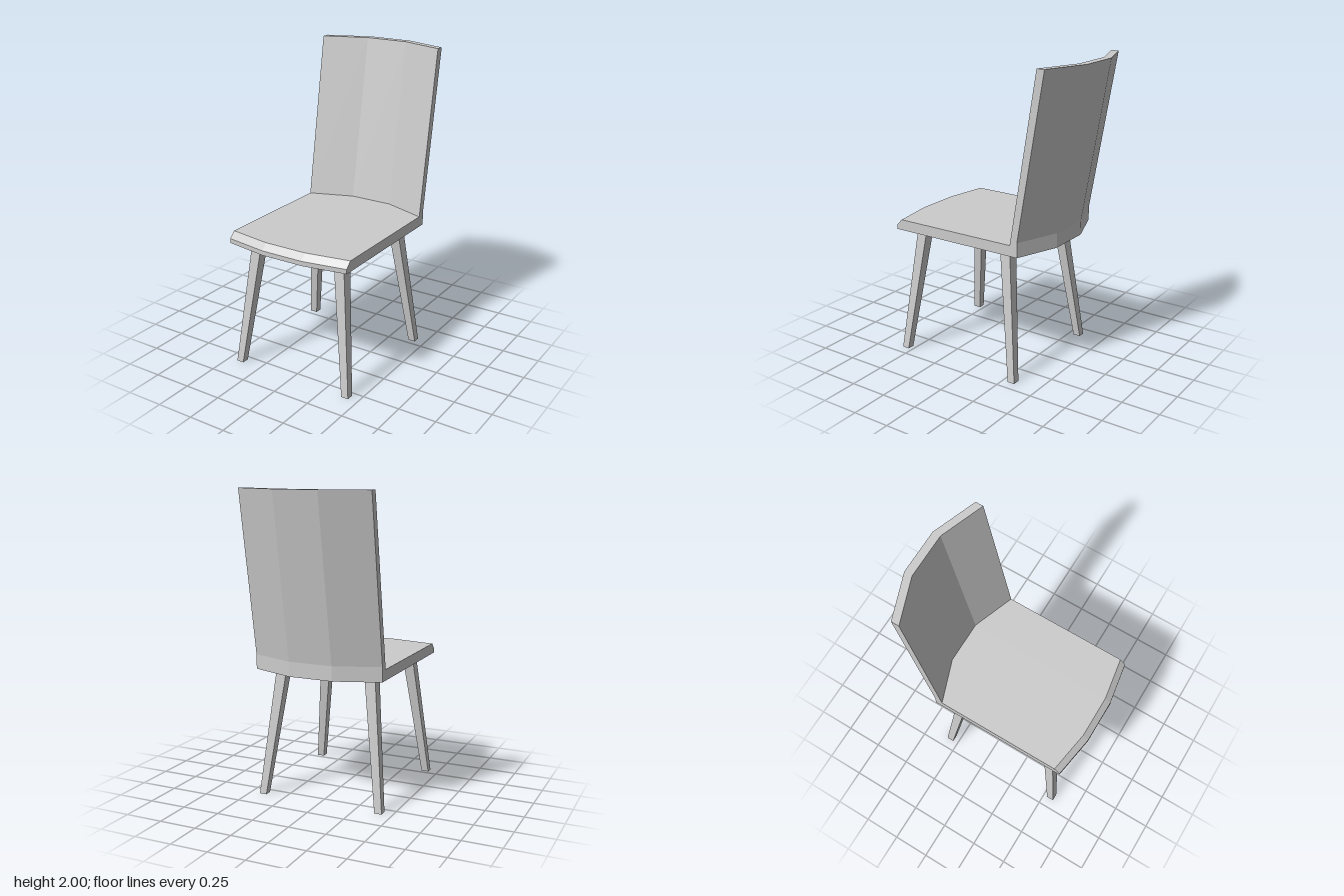
import * as THREE from 'three';

const material = new THREE.MeshStandardMaterial({ color: 0xcccccc, flatShading: true });

// Seat and backrest: one L-shaped side profile swept across four stations in x.
// Each point is [z at the sides, y, z shift at the two middle stations].
const PROFILE = [
  [0.59, 0.85, 0.047], [0.59, 0.88, 0.047], [0.55, 0.92, 0.047], [-0.3, 0.92, -0.105],
  [-0.48, 2, -0.105], [-0.532, 2, -0.105], [-0.352, 0.945, -0.105], [-0.352, 0.85, -0.105],
];
const STATIONS = [[-0.438, 0], [-0.149, 1], [0.142, 1], [0.431, 0]];

function seatGeometry() {
  const n = PROFILE.length;
  const positions = [];
  const index = [];
  for (const [x, bow] of STATIONS) {
    for (const [z, y, shift] of PROFILE) positions.push(x, y, z + bow * shift);
  }
  // outer skin
  for (let i = 0; i < STATIONS.length - 1; i++) {
    for (let j = 0; j < n; j++) {
      const k = (j + 1) % n;
      const a = i * n + j, b = a + n, c = (i + 1) * n + k, d = i * n + k;
      index.push(a, b, c, a, c, d);
    }
  }
  // flat side ends
  const outline = PROFILE.map(([z, y]) => new THREE.Vector2(z, y));
  const last = (STATIONS.length - 1) * n;
  for (const [a, b, c] of THREE.ShapeUtils.triangulateShape(outline, [])) {
    index.push(a, b, c, last + a, last + c, last + b);
  }
  const geometry = new THREE.BufferGeometry();
  geometry.setAttribute('position', new THREE.Float32BufferAttribute(positions, 3));
  geometry.setIndex(index);
  const flat = geometry.toNonIndexed();
  flat.computeVertexNormals();
  return flat;
}

// Square leg, tapered and splayed from its top centre to its foot centre
function legGeometry(top, foot, height, topSize, footSize) {
  const geometry = new THREE.BoxGeometry(1, 1, 1);
  const p = geometry.attributes.position;
  for (let i = 0; i < p.count; i++) {
    const upper = p.getY(i) > 0;
    const [cx, cz] = upper ? top : foot;
    const size = upper ? topSize : footSize;
    p.setXYZ(i, cx + p.getX(i) * size, upper ? height : 0, cz + p.getZ(i) * size);
  }
  geometry.computeVertexNormals();
  return geometry;
}

export function createModel() {
  const group = new THREE.Group();
  group.name = 'chair';

  const add = (name, geometry) => {
    const mesh = new THREE.Mesh(geometry, material);
    mesh.name = name;
    group.add(mesh);
  };

  add('seatAndBackrest', seatGeometry());

  for (const [side, s] of [['Left', 1], ['Right', -1]]) {
    add('front' + side + 'Leg', legGeometry([s * 0.308, 0.449], [s * 0.41, 0.553], 0.85, 0.072, 0.049));
    add('back' + side + 'Leg', legGeometry([s * 0.308, -0.205], [s * 0.41, -0.312], 0.85, 0.072, 0.049));
  }
  return group;
}
